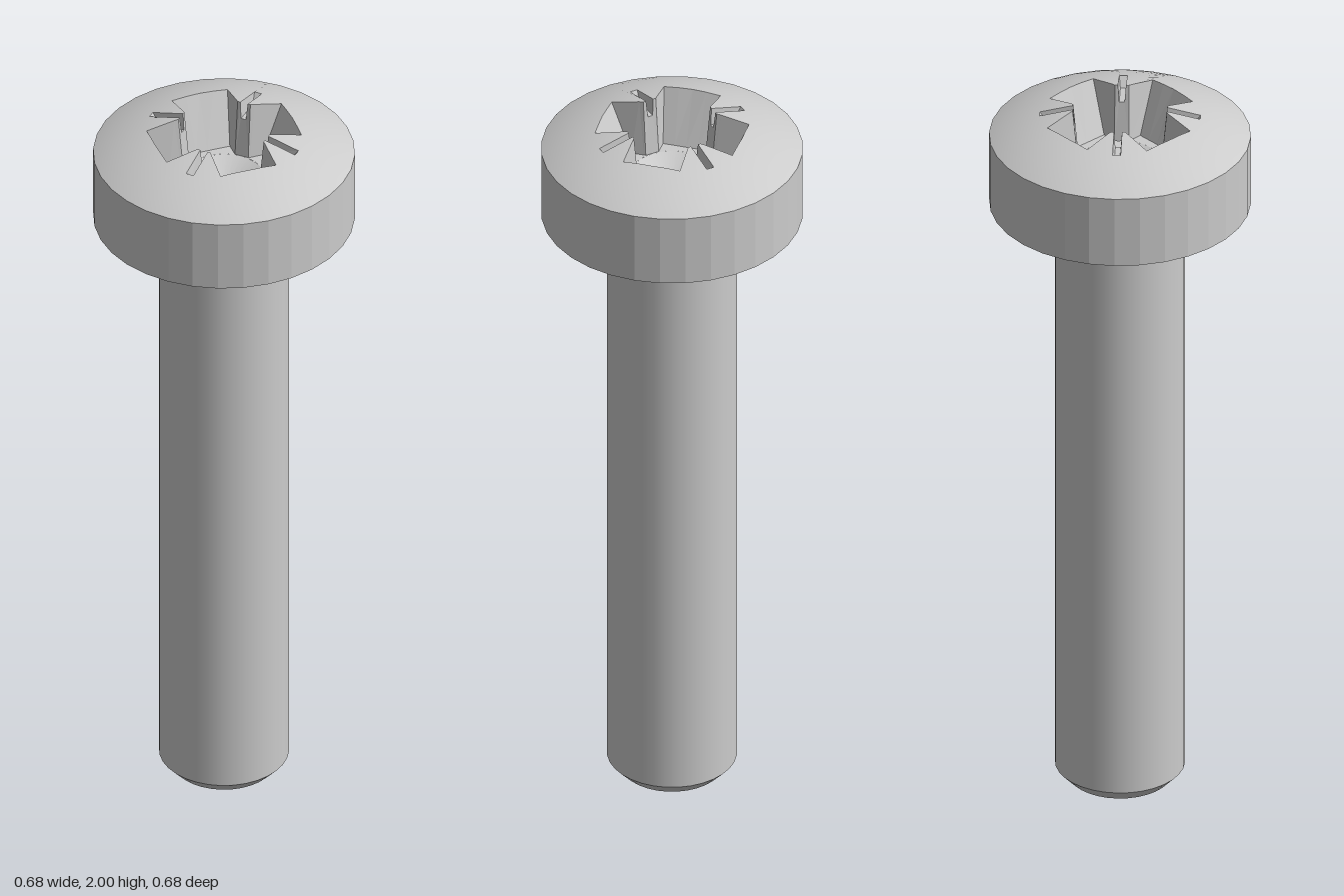
import * as THREE from 'three';

const SIDES = 32, HEAD_R = 0.342, RIM_Y = 1.92, HEAD_Y = 1.72, APEX_Y = 2.009;
const FLOOR_Y = 1.84, SLIT_Y = 1.95, CONE_R = 0.107;

// Spherical dome over the head
const SAG = APEX_Y - RIM_Y;
const DOME_R = (HEAD_R * HEAD_R + SAG * SAG) / (2 * SAG);
const domeY = (x, z) => APEX_Y - DOME_R + Math.sqrt(DOME_R * DOME_R - x * x - z * z);

const material = (options = {}) => new THREE.MeshStandardMaterial({ color: 0xcccccc, ...options });

function addMesh(group, name, geometry, options) {
  const mesh = new THREE.Mesh(geometry, material(options));
  mesh.name = name;
  group.add(mesh);
}

function addLathe(group, name, profile, options) {
  const points = profile.map(([r, y]) => new THREE.Vector2(r, y));
  addMesh(group, name, new THREE.LatheGeometry(points, SIDES), options);
}

function quadGeometry(quads) {
  const positions = quads.flatMap(([a, b, c, d]) => [a, b, c, a, c, d].flat());
  const geometry = new THREE.BufferGeometry();
  geometry.setAttribute('position', new THREE.Float32BufferAttribute(positions, 3));
  geometry.computeVertexNormals();
  return geometry;
}

const lerp = (a, b, t) => a.map((v, i) => v + (b[i] - v) * t);
// Point on the diagonal at distance u, shifted sideways by v
const diagonal = (u, v) => [(u + v) * Math.SQRT1_2, (u - v) * Math.SQRT1_2];

// One quarter of the recess outline: rim point, foot point and foot height
function recessOutline() {
  const quarter = [
    [[0.19, 0], [0.13, 0], FLOOR_Y],
    [[0.187, 0.077], [0.13, 0.063], FLOOR_Y],
    [[0.1, 0.074], [0.09, 0.063], FLOOR_Y],
    [diagonal(0.123, 0.0105), diagonal(0.119, 0.007), SLIT_Y],
    [diagonal(0.21, 0.0105), diagonal(0.191, 0.007), SLIT_Y],
  ];
  // Mirror across the diagonal, leaving out the shared arm centre
  const mirrored = quarter.slice(1).reverse().map(([r, f, y]) => [[r[1], r[0]], [f[1], f[0]], y]);
  const outline = [];
  for (let k = 0; k < 4; k++) {
    const turn = (p) => {
      for (let i = 0; i < k; i++) p = [-p[1], p[0]];
      return p;
    };
    for (const [rim, foot, y] of [...quarter, ...mirrored]) {
      const [x, z] = turn(foot);
      outline.push({ rim: turn(rim), foot: [x, y, z] });
    }
  }
  return outline;
}

// Split a rim edge wherever it passes one of the head's corner angles
function splits(p, q) {
  const ts = [0, 1];
  for (let k = 0; k < SIDES; k++) {
    const a = (k / SIDES) * Math.PI * 2, c = Math.cos(a), s = Math.sin(a);
    const cp = p[0] * s - p[1] * c, cq = q[0] * s - q[1] * c;
    if (cp > 1e-6 && cq < -1e-6 && p[0] * c + p[1] * s > 0) ts.push(cp / (cp - cq));
  }
  return ts.sort((a, b) => a - b);
}

// Point on the straight-sided head edge in the direction of p
function headEdge([x, z]) {
  const step = (Math.PI * 2) / SIDES;
  const a = Math.atan2(z, x) + Math.PI * 2;
  const offset = a - Math.round(a / step - 0.5) * step - step / 2;
  const r = (HEAD_R * Math.cos(step / 2)) / Math.cos(offset);
  return [r * Math.cos(a), r * Math.sin(a)];
}

function createHeadTop(group) {
  const outline = recessOutline();
  const dome = [], walls = [], rings = 6;
  // Dome lattice from recess rim to head edge
  const onDome = (p, t) => {
    const [x, z] = lerp(p, headEdge(p), t);
    return [x, t === 1 ? RIM_Y : domeY(x, z), z];
  };
  outline.forEach((a, i) => {
    const b = outline[(i + 1) % outline.length];
    const ts = splits(a.rim, b.rim);
    for (let j = 0; j < ts.length - 1; j++) {
      const p = lerp(a.rim, b.rim, ts[j]), q = lerp(a.rim, b.rim, ts[j + 1]);
      for (let k = 0; k < rings; k++) {
        const t = k / rings, u = (k + 1) / rings;
        dome.push([onDome(p, t), onDome(q, t), onDome(q, u), onDome(p, u)]);
      }
      walls.push([lerp(a.foot, b.foot, ts[j]), lerp(a.foot, b.foot, ts[j + 1]), onDome(q, 0), onDome(p, 0)]);
    }
  });

  // Slit floors and the chamfers below them
  for (let k = 0; k < 4; k++) {
    const [a, m, s, s2, m2, b] = outline.slice(k * 9 + 2, k * 9 + 8).map((o) => o.foot);
    walls.push([m, m2, s2, s], [a, b, m2, m]);
  }

  const domeGeometry = quadGeometry(dome);
  const pos = domeGeometry.attributes.position, normal = domeGeometry.attributes.normal;
  const n = new THREE.Vector3();
  for (let i = 0; i < pos.count; i++) {
    n.fromBufferAttribute(pos, i);
    n.y -= APEX_Y - DOME_R;
    n.normalize();
    normal.setXYZ(i, n.x, n.y, n.z);
  }
  addMesh(group, 'headDome', domeGeometry, { side: THREE.DoubleSide });
  addMesh(group, 'recessWalls', quadGeometry(walls), { flatShading: true, side: THREE.DoubleSide });

  // Cross-shaped floor around a conical centre
  const feet = outline.filter((o) => o.foot[1] === FLOOR_Y);
  const floor = new THREE.Shape(feet.map((o) => new THREE.Vector2(o.foot[0], o.foot[2])));
  floor.holes.push(new THREE.Path().absarc(0, 0, CONE_R, 0, Math.PI * 2, true));
  const floorGeometry = new THREE.ShapeGeometry(floor, SIDES);
  floorGeometry.rotateX(-Math.PI / 2).translate(0, FLOOR_Y, 0);
  addMesh(group, 'recessFloor', floorGeometry, { side: THREE.DoubleSide });
  addLathe(group, 'recessCone', [[CONE_R, FLOOR_Y], [0, FLOOR_Y - 0.05]], { side: THREE.DoubleSide });
}

export function createModel() {
  const model = new THREE.Group();
  model.name = 'screw';

  // Shank with chamfered tip and a small fillet under the head
  const fillet = [];
  for (let i = 0; i <= 4; i++) {
    const a = (i / 4) * Math.PI / 2;
    fillet.push([0.188 - 0.018 * Math.cos(a), HEAD_Y - 0.018 + 0.018 * Math.sin(a)]);
  }
  addLathe(model, 'tipEnd', [[0, 0], [0.136, 0]]);
  addLathe(model, 'tipChamfer', [[0.136, 0], [0.17, 0.036]]);
  addLathe(model, 'shank', [[0.17, 0.036], [0.17, HEAD_Y - 0.018]]);
  addLathe(model, 'headFillet', fillet);

  // Head
  addLathe(model, 'headUnderside', [[0.188, HEAD_Y], [HEAD_R, HEAD_Y]]);
  addLathe(model, 'headSide', [[HEAD_R, HEAD_Y], [HEAD_R, RIM_Y]], { flatShading: true });
  createHeadTop(model);
  return model;
}
